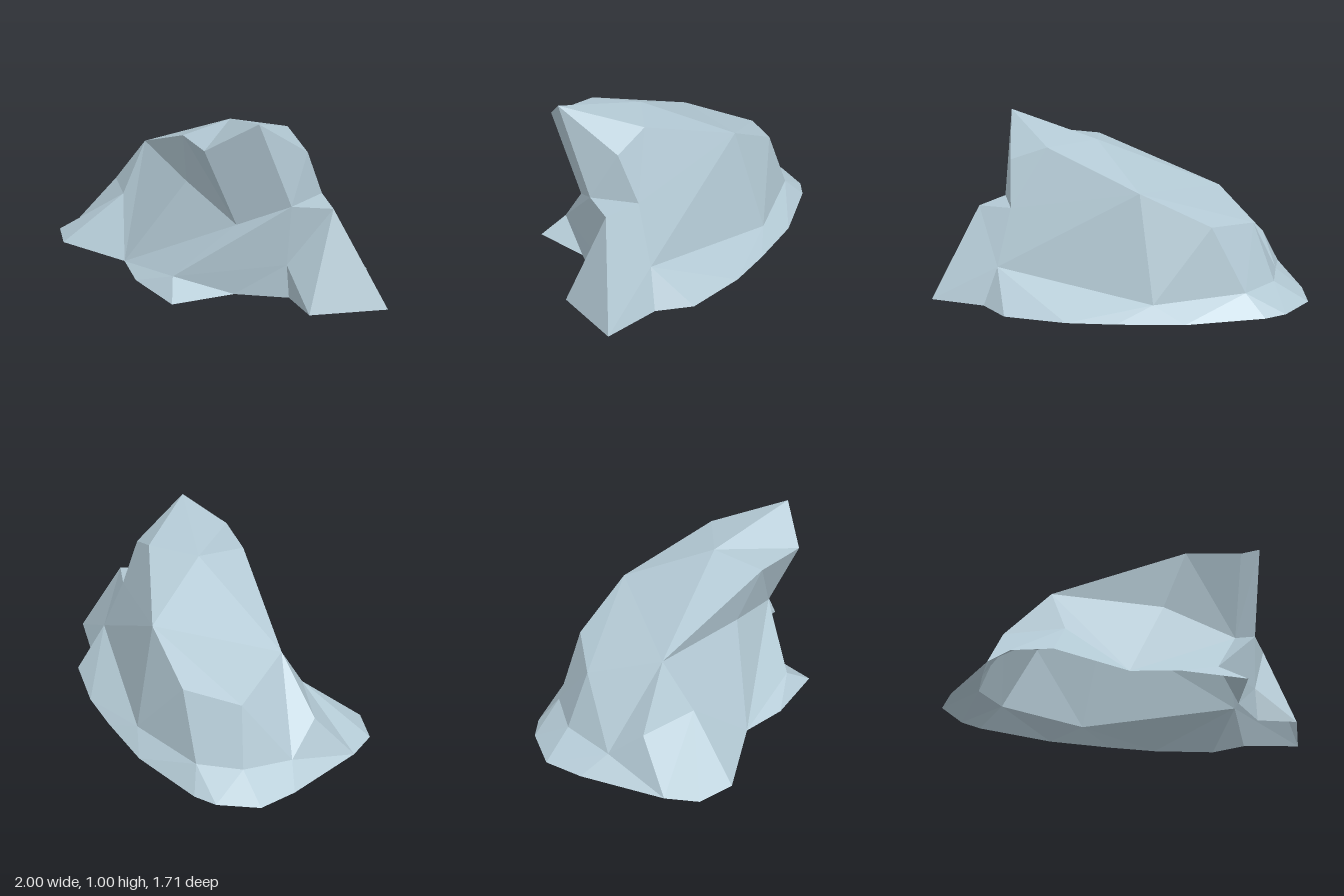
import * as THREE from 'three';

// Corners of the boulder above the ground: [x, y, z]
const tip = [0.32, 1, 0.785], brow = [0.04, 0.84, 0.77], ridge = [-0.12, 0.83, 0.5];
const crown = [0.1, 0.865, 0.28], crownSide = [0.42, 0.86, 0.35], cheek = [0.545, 0.78, 0.53];
const spine = [0.25, 0.67, -0.22], backTop = [0, 0.49, -0.53], backTopRight = [-0.33, 0.45, -0.55];
const shoulder = [-0.475, 0.565, -0.16], throat = [-0.13, 0.52, 0.36], chin = [0.19, 0.4, 0.655];
const ledgeFront = [0.48, 0.525, 0.67], ledgeBack = [0.62, 0.525, 0.445], ledgeTip = [0.695, 0.515, 0.64];
const footBack = [-0.37, 0.12, -0.68], footBackLeft = [-0.11, 0.12, -0.69], footSide = [0.31, 0.08, -0.385];
const footLeft = [0.75, 0.21, 0.42], footFront = [0.46, 0.19, 0.66], toe = [-0.15, 0.09, 0.68];
const spur = [-0.58, 0.28, -0.01], spurBack = [-0.7, 0.26, -0.32], footRight = [-0.61, 0.09, -0.5];

// Ground outline [x, z], from the back round the left side
const outline = [
  [-0.5, -0.83], [-0.26, -0.86], [-0.13, -0.82], [0.25, -0.57], [0.51, -0.3], [0.69, -0.09],
  [0.87, 0.22], [0.85, 0.43], [1, 0.72], [0.6, 0.85], [0.475, 0.66], [0.18, 0.66],
  [-0.125, 0.835], [-0.38, 0.57], [-0.5, 0.33], [-0.92, 0.12], [-1, -0.08], [-0.93, -0.26],
  [-0.655, -0.665],
].map(([x, z]) => [x, 0, z]);

// Cross-section rings, all in the same turning direction
const middle = [footBack, footBackLeft, footSide, footLeft, ledgeTip, footFront, toe, chin,
  throat, shoulder, spur, spurBack, footRight];
const upper = [backTopRight, backTop, spine, ledgeBack, ledgeFront, tip, brow, ridge, shoulder];
const top = [spine, crownSide, cheek, crownSide, crown];

// Zips two rings into triangles; each step moves along the low (l) or high (h) ring.
function zip(low, high, steps) {
  const faces = [];
  let i = 0, j = 0;
  for (const step of steps.replaceAll(' ', '')) {
    const a = low[i % low.length], b = high[j % high.length];
    const c = step === 'l' ? low[++i % low.length] : high[++j % high.length];
    if (a !== b && b !== c && a !== c) faces.push([a, b, c]);
  }
  return faces;
}

function facetMesh(name, faces, material) {
  const geometry = new THREE.BufferGeometry();
  geometry.setAttribute('position', new THREE.Float32BufferAttribute(faces.flat(2), 3));
  geometry.computeVertexNormals();
  const mesh = new THREE.Mesh(geometry, material);
  mesh.name = name;
  return mesh;
}

export function createModel() {
  const stone = new THREE.MeshStandardMaterial({
    color: 0xb2c8d3, flatShading: true, side: THREE.DoubleSide,
  });
  stone.name = 'paleStone';

  const rock = new THREE.Group();
  rock.name = 'rock';
  rock.add(
    // Sloping foot, open underneath
    facetMesh('foot', zip(outline, middle, 'lh llh llh lllh lh llh lll hhhh lll hh ll h'), stone),
    // Steep walls and the overhang at the front
    facetMesh('walls', zip(middle, upper, 'lh lh lh lh lll hhh ll h lll h l'), stone),
    // Sloping top
    facetMesh('crown', [...zip(upper, top, 'll h l h ll hh lll h l'), [spine, crown, crownSide]], stone),
  );
  return rock;
}
